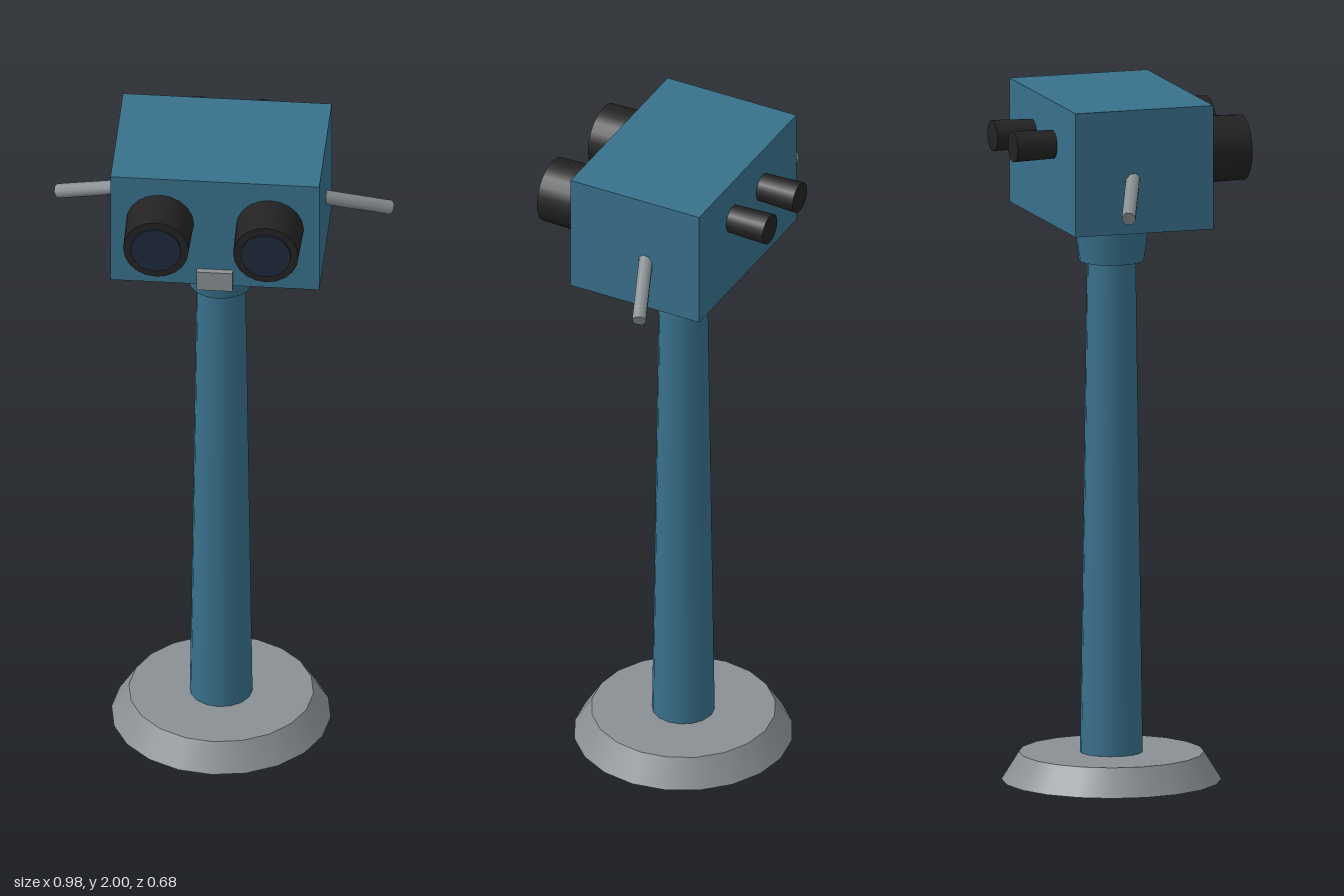
import * as THREE from 'three';

const paint = (name, color) => new THREE.MeshStandardMaterial({ name, color });

export function createModel() {
  const blue = paint('blue paint', 0x38708b);
  const steel = paint('grey steel', 0x898f92);
  const black = paint('black rubber', 0x222222);
  const glass = paint('dark glass', 0x1e293b);

  const model = new THREE.Group();
  model.name = 'coinViewer';
  const axisZ = -0.01; // centre of stand and housing

  const add = (name, geometry, material, x, y, z) => {
    const mesh = new THREE.Mesh(geometry, material);
    mesh.name = name;
    mesh.position.set(x, y, z);
    model.add(mesh);
    return mesh;
  };

  // Upright round part between two heights
  const upright = (name, material, rTop, rBottom, y0, y1, sides) =>
    add(name, new THREE.CylinderGeometry(rTop, rBottom, y1 - y0, sides), material, 0, (y0 + y1) / 2, axisZ);

  // Round part lying along z, from back z0 to front z1
  const lying = (name, material, rFront, rBack, x, y, z0, z1, sides) => {
    const geometry = new THREE.CylinderGeometry(rFront, rBack, z1 - z0, sides).rotateX(Math.PI / 2);
    return add(name, geometry, material, x, y, (z0 + z1) / 2);
  };

  // Stand
  upright('base', steel, 0.265, 0.315, 0, 0.08, 20);
  upright('column', blue, 0.07, 0.09, 0.08, 1.51, 16);
  upright('collar', blue, 0.112, 0.093, 1.51, 1.645, 16);

  // Head
  add('housing', new THREE.BoxGeometry(0.6, 0.36, 0.416), blue, 0, 1.82, axisZ);
  add('coinSlot', new THREE.BoxGeometry(0.104, 0.062, 0.052), steel, 0, 1.663, 0.19);

  for (const [label, s] of [['left', 1], ['right', -1]]) {
    // Front lens barrels and rear eyepieces
    lying(label + 'Barrel', black, 0.094, 0.098, s * 0.158, 1.847, 0.17, 0.332, 20);
    lying(label + 'Lens', glass, 0.072, 0.072, s * 0.158, 1.847, 0.33, 0.338, 20);
    lying(label + 'Eyepiece', black, 0.041, 0.0455, s * 0.0925, 1.875, -0.338, -0.2, 16);

    // Side handles, angled out, down and back
    const inner = new THREE.Vector3(s * 0.25, 1.815, -0.025);
    const outer = new THREE.Vector3(s * 0.478, 1.719, -0.117);
    const along = outer.clone().sub(inner);
    const middle = inner.clone().add(outer).multiplyScalar(0.5);
    const handle = add(label + 'Handle', new THREE.CylinderGeometry(0.021, 0.021, along.length(), 8),
      steel, middle.x, middle.y, middle.z);
    handle.quaternion.setFromUnitVectors(new THREE.Vector3(0, 1, 0), along.normalize());
  }

  return model;
}
